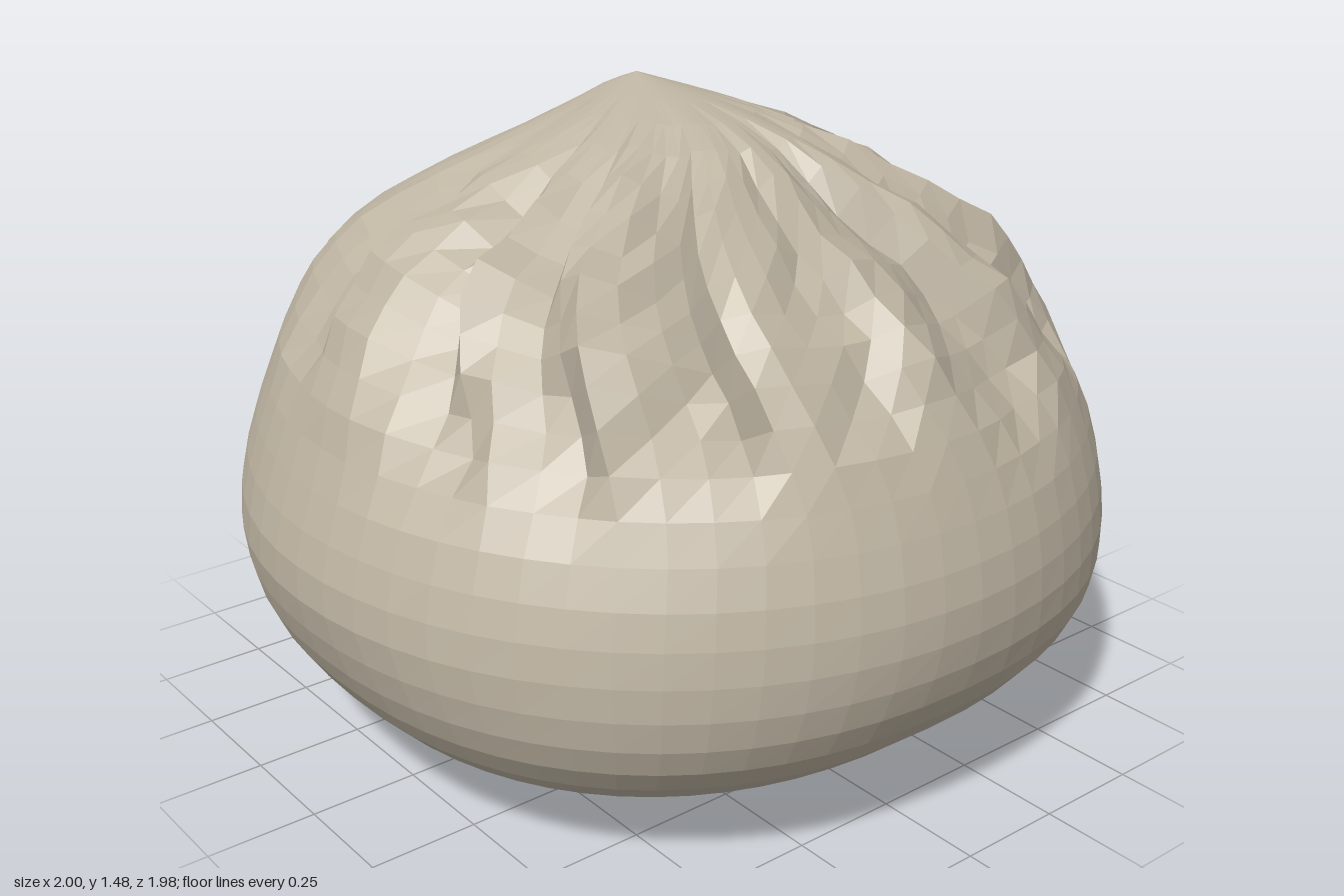
import * as THREE from 'three';

const SEGMENTS = 64, ROWS = 30;

// Rings of the body: height, then reach towards -x, +x, +z and -z
const RINGS = [
  [0, 0, 0, 0, 0],
  [0.008, 0.28, 0.28, 0.2, 0.25],
  [0.04, 0.5, 0.5, 0.41, 0.46],
  [0.1, 0.69, 0.69, 0.63, 0.66],
  [0.19, 0.83, 0.82, 0.8, 0.82],
  [0.3, 0.92, 0.92, 0.91, 0.91],
  [0.42, 0.975, 0.975, 0.97, 0.96],
  [0.55, 1, 1, 0.99, 0.99],
  [0.68, 0.97, 0.98, 0.97, 0.985],
  [0.82, 0.91, 0.94, 0.92, 0.955],
  [0.96, 0.86, 0.89, 0.87, 0.89],
  [1.09, 0.79, 0.82, 0.8, 0.8],
  [1.19, 0.7, 0.72, 0.7, 0.66],
  [1.28, 0.57, 0.59, 0.57, 0.5],
  [1.35, 0.39, 0.41, 0.42, 0.37],
  [1.41, 0.21, 0.22, 0.26, 0.27],
  [1.455, 0.08, 0.08, 0.04, 0.2],
  [1.482, 0, 0, -0.13, 0.13],
];

// Pleats: angle near the tip and at the lower end (degrees from +z towards +x),
// half width, depth and height of the lower end
const PLEATS = [
  [90, 104, 15, 0.13, 0.85],
  [109, 117, 13, 0.1, 0.9],
  [75, 88, 12, 0.08, 0.95],
  [60, 75, 14, 0.11, 0.85],
  [38, 50, 16, 0.11, 0.88],
  [8, 17, 15, 0.1, 0.88],
  [-14, -8, 12, 0.07, 0.95],
  [-43, -31, 16, 0.11, 0.9],
  [-72, -53, 14, 0.1, 0.85],
  [-92, -70, 13, 0.11, 0.85],
  [-122, -102, 14, 0.07, 0.95],
  [185, 184, 13, 0.05, 1.0],
  [157, 160, 13, 0.09, 0.9],
  [134, 147, 14, 0.11, 0.88],
].map(([tip, end, width, depth, start]) => ({
  tip: THREE.MathUtils.degToRad(tip),
  end: THREE.MathUtils.degToRad(end),
  width: THREE.MathUtils.degToRad(width),
  depth, start,
}));

function seeded(seed) {
  return () => (seed = (seed * 16807) % 2147483647) / 2147483647;
}

const wrap = (a) => Math.atan2(Math.sin(a), Math.cos(a));
const power = (v, p) => Math.sign(v) * Math.abs(v) ** p;
const smooth = THREE.MathUtils.smoothstep;

// Gentle slope on one side of each crease, a steep fold on the other
function creaseDepth(angle, y) {
  let depth = 0;
  for (const p of PLEATS) {
    const along = THREE.MathUtils.clamp((y - 0.9) / 0.5, 0, 1);
    const d = wrap(angle - THREE.MathUtils.lerp(p.end, p.tip, along));
    const s = Math.max(0, d < 0 ? 1 + d / p.width : 1 - d / (0.45 * p.width));
    const fade = smooth(y, p.start - 0.1, p.start + 0.15) * (1 - smooth(y, 1.26, 1.45));
    depth = Math.max(depth, s * fade * p.depth);
  }
  return depth;
}

function bunGeometry() {
  const random = seeded(4177);
  const sizes = new THREE.CatmullRomCurve3(
    RINGS.map(([y, l, r, f, b]) => new THREE.Vector3((l + r) / 2, y, (f + b) / 2)));
  const centres = new THREE.CatmullRomCurve3(
    RINGS.map(([y, l, r, f, b]) => new THREE.Vector3((r - l) / 2, y, (f - b) / 2)));
  const positions = [], index = [];

  for (let i = 0; i <= ROWS; i++) {
    const size = sizes.getPoint(i / ROWS), centre = centres.getPoint(i / ROWS);
    const y = Math.max(0, size.y);
    const swirl = -0.25 * smooth(y, 0.75, 1.45);
    const rough = 0.03 * smooth(y, 0.85, 1.05) * (1 - smooth(y, 1.3, 1.42));
    // the lower body is squarer than the middle
    const square = 0.28 * (1 - smooth(y, 0.25, 0.6));
    for (let j = 0; j < SEGMENTS; j++) {
      const base = (j / SEGMENTS) * Math.PI * 2 + swirl;
      const crease = creaseDepth(base, y);
      // the smooth back right side has hardly any wrinkles
      const calm = Math.abs(wrap(base + 2.5)) < 0.5 ? 0.3 : 1;
      const depth = crease + rough * calm * random();
      // creases lean sideways so that the folds overlap a little
      const angle = base + crease * 0.6;
      const s = Math.sin(angle), c = Math.cos(angle);
      const n = 2 / (2.03 + square);
      // full corners either side of the flattened back
      const corner = (a) => Math.exp(-((wrap(angle - a) / 0.3) ** 2));
      const bulge = 1 + 0.045 * corner(2.56) + 0.03 * corner(-2.56);
      const p = new THREE.Vector3(
        centre.x + size.x * power(s, n) * bulge, y,
        centre.z + size.z * power(c, n) * bulge);
      const outward = new THREE.Vector3(p.x, (y - 0.5) * 1.1, p.z).normalize();
      p.addScaledVector(outward, -depth);
      positions.push(p.x, p.y, p.z);
    }
  }
  for (let i = 0; i < ROWS; i++) {
    for (let j = 0; j < SEGMENTS; j++) {
      const a = i * SEGMENTS + j, b = i * SEGMENTS + ((j + 1) % SEGMENTS);
      const c = b + SEGMENTS, d = a + SEGMENTS;
      // single triangles close the two poles
      if (i > 0) index.push(a, b, c);
      if (i < ROWS - 1) index.push(a, c, d);
    }
  }
  const geometry = new THREE.BufferGeometry();
  geometry.setAttribute('position', new THREE.Float32BufferAttribute(positions, 3));
  geometry.setIndex(index);
  geometry.computeVertexNormals();
  return geometry;
}

export function createModel() {
  const group = new THREE.Group();
  group.name = 'steamedBun';
  const dough = new THREE.MeshStandardMaterial({ color: 0xbeb4a2, flatShading: true });
  const bun = new THREE.Mesh(bunGeometry(), dough);
  bun.name = 'pleatedDough';
  group.add(bun);
  return group;
}
